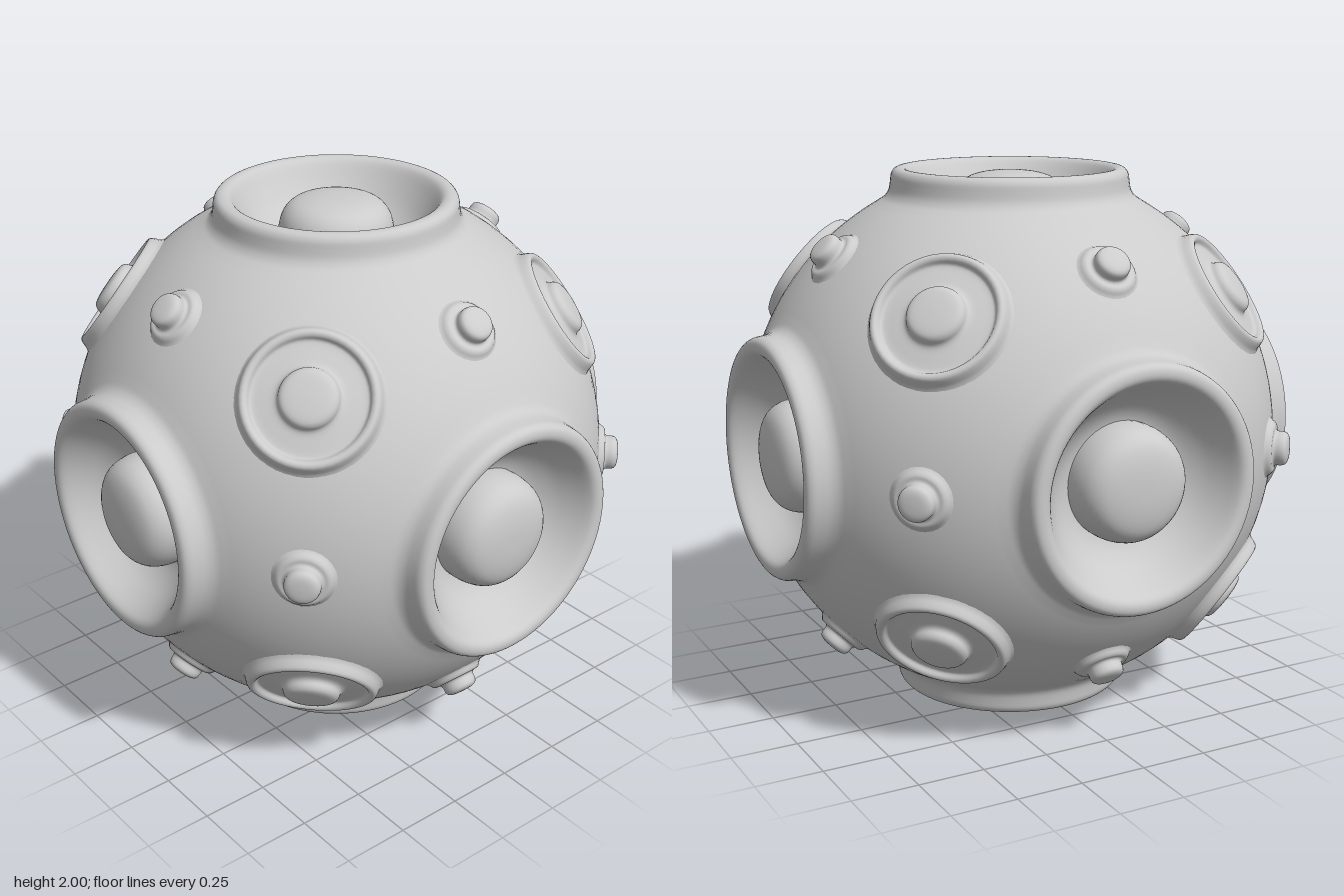
import * as THREE from 'three';

const R = 1.003; // radius of the ball
const HOLE = 0.51; // radius of the openings that the cups fill
const AROUND = 72; // sides of the cups and of their openings
const material = new THREE.MeshStandardMaterial({ color: 0xcccccc });
const UP = new THREE.Vector3(0, 1, 0);

// Height of the ball's surface at a distance r from a part's axis
const surface = (r) => Math.sqrt(R * R - r * r);

// Smooth turned part; the profile runs from its outer foot up to the axis
function turned(points, sides) {
  const curve = new THREE.SplineCurve(points.map(([r, y]) => new THREE.Vector2(r, y)));
  const profile = curve.getPoints((points.length - 1) * 3);
  profile.forEach((p) => { p.x = Math.max(p.x, 0); });
  return new THREE.LatheGeometry(profile, sides);
}

// One sixth of the ball: from a round hole at +y out to the edge of a cube face
function ballPatch() {
  const rings = 14, inner = Math.tan(Math.asin(HOLE / R));
  const pos = [], nor = [], idx = [];
  for (let i = 0; i <= rings; i++) {
    for (let j = 0; j <= AROUND; j++) {
      const a = (j / AROUND) * Math.PI * 2, c = Math.cos(a), s = Math.sin(a);
      const edge = 1 / Math.max(Math.abs(c), Math.abs(s));
      const t = THREE.MathUtils.lerp(inner, edge, i / rings);
      const n = new THREE.Vector3(t * c, 1, t * s).normalize();
      nor.push(n.x, n.y, n.z);
      pos.push(n.x * R, n.y * R, n.z * R);
      if (i < rings && j < AROUND) {
        const p = i * (AROUND + 1) + j, q = p + AROUND + 1;
        idx.push(p, p + 1, q, p + 1, q + 1, q);
      }
    }
  }
  const g = new THREE.BufferGeometry();
  g.setAttribute('position', new THREE.Float32BufferAttribute(pos, 3));
  g.setAttribute('normal', new THREE.Float32BufferAttribute(nor, 3));
  g.setIndex(idx);
  return g;
}

export function createModel() {
  const model = new THREE.Group();
  model.name = 'studdedBall';
  const ball = new THREE.Group();
  ball.position.y = 1;
  model.add(ball);

  // Raised rim and the shallow bowl inside it
  const cup = turned([
    [HOLE, surface(HOLE)], [0.49, surface(0.49) + 0.001], [0.466, 0.893], [0.45, 0.918],
    [0.444, 0.95], [0.44, 0.977], [0.427, 0.995], [0.405, 1], [0.385, 0.994], [0.368, 0.975],
    [0.34, 0.93], [0.3, 0.875], [0.255, 0.835], [0.215, 0.815], [0.18, 0.808],
  ], AROUND);
  // Flattened dome in the middle of the bowl
  const dome = turned([
    [0.208, 0.79], [0.211, 0.835], [0.207, 0.88], [0.192, 0.925], [0.16, 0.959],
    [0.11, 0.977], [0.05, 0.985], [0, 0.986],
  ], 48);
  // Shallow ring with a central boss
  const ringBoss = turned([
    [0.262, 0.962], [0.247, 0.979], [0.239, 0.999], [0.231, 1.014], [0.219, 1.019], [0.207, 1.013],
    [0.198, 0.999], [0.183, 0.996], [0.15, 1.0], [0.12, 1.005], [0.106, 1.015],
    [0.1, 1.032], [0.085, 1.046], [0.05, 1.052], [0, 1.054],
  ], 48);
  // Small stud on a soft collar
  const stud = turned([
    [0.122, 0.99], [0.107, 1.001], [0.097, 1.014], [0.086, 1.021], [0.072, 1.022],
    [0.064, 1.03], [0.063, 1.05], [0.056, 1.065], [0.035, 1.073], [0, 1.075],
  ], 28);
  const patch = ballPatch();

  const place = (geometry, name, dir) => {
    const mesh = new THREE.Mesh(geometry, material);
    mesh.name = name;
    mesh.quaternion.setFromUnitVectors(UP, dir);
    ball.add(mesh);
  };

  // Faces, corners and edge middles of a cube give the 6, 8 and 12 directions
  for (const x of [-1, 0, 1]) for (const y of [-1, 0, 1]) for (const z of [-1, 0, 1]) {
    const kind = Math.abs(x) + Math.abs(y) + Math.abs(z);
    const dir = new THREE.Vector3(x, y, z).normalize();
    if (kind === 1) {
      place(patch, 'ballSurface', dir);
      place(cup, 'cup', dir);
      place(dome, 'cupDome', dir);
    } else if (kind === 2) {
      place(stud, 'stud', dir);
    } else if (kind === 3) {
      place(ringBoss, 'ringBoss', dir);
    }
  }
  return model;
}
